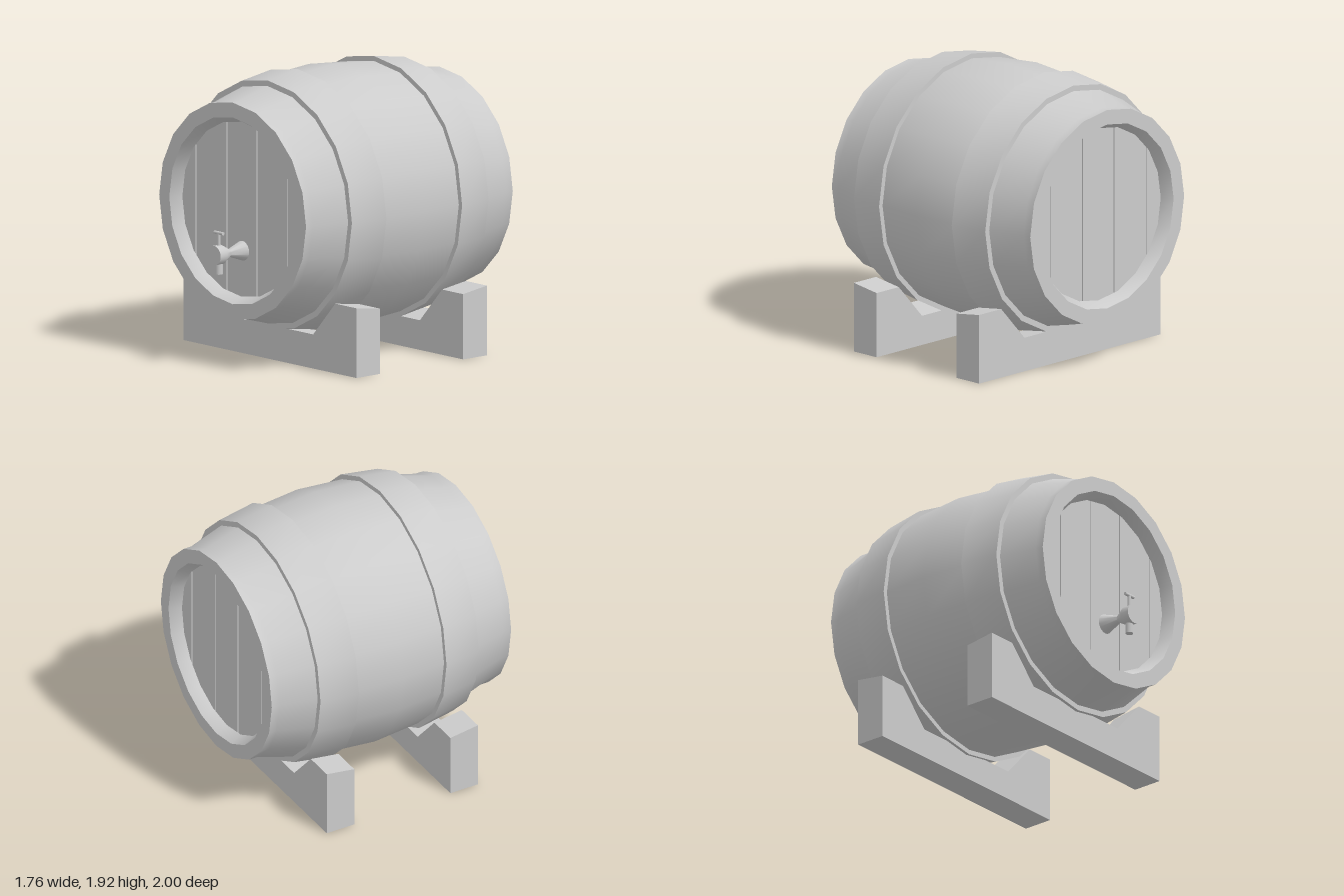
import * as THREE from 'three';
import { toCreasedNormals } from 'three/addons/utils/BufferGeometryUtils.js';

const AXIS_Y = 1.043; // height of the barrel axis
const MID_Z = -0.085; // middle of the barrel along z
const HALF = 0.915; // half the barrel length
const SIDES = 20;

const grey = new THREE.MeshStandardMaterial({ color: 0xcccccc });

function add(parent, name, geometry, x = 0, y = 0, z = 0) {
  const mesh = new THREE.Mesh(geometry, grey);
  mesh.name = name;
  mesh.position.set(x, y, z);
  parent.add(mesh);
  return mesh;
}

// Turned part with its axis along z; points are [radius, z], outer side running towards +z
function turned(points, sides) {
  const geometry = new THREE.LatheGeometry(points.map(([r, z]) => new THREE.Vector2(r, z)), sides);
  geometry.rotateX(Math.PI / 2);
  return toCreasedNormals(geometry, 0.6);
}

// One head board between x0 and x1, its ends following the round opening
function boardGeometry(x0, x1, radius, thickness) {
  const top = [];
  const steps = 6;
  for (let i = 0; i <= steps; i++) {
    const x = x0 + ((x1 - x0) * i) / steps;
    top.push(new THREE.Vector2(x, Math.sqrt(Math.max(radius * radius - x * x, 0.0001))));
  }
  const bottom = top.map((p) => new THREE.Vector2(p.x, -p.y)).reverse();
  const geometry = new THREE.ExtrudeGeometry(new THREE.Shape([...top, ...bottom]), {
    depth: thickness, bevelEnabled: false,
  });
  return geometry.translate(0, 0, -thickness / 2);
}

// Cradle block with a notch; its upper faces drop towards the barrel middle
function cradleGeometry(side) {
  const depth = 0.21;
  const outline = [
    [-0.86, 0], [0.86, 0], [0.86, 0.47], [0.65, 0.47],
    [0.43, 0.23], [-0.43, 0.23], [-0.65, 0.47], [-0.86, 0.47],
  ].map(([x, y]) => new THREE.Vector2(x, y));
  const geometry = new THREE.ExtrudeGeometry(new THREE.Shape(outline), { depth, bevelEnabled: false });
  geometry.translate(0, 0, -depth / 2);
  const pos = geometry.attributes.position;
  for (let i = 0; i < pos.count; i++) {
    if (pos.getY(i) > 0.01 && pos.getZ(i) * side < 0) pos.setY(i, pos.getY(i) - 0.03);
  }
  geometry.computeVertexNormals();
  return geometry;
}

export function createModel() {
  const model = new THREE.Group();
  model.name = 'barrelOnCradles';

  const barrel = new THREE.Group();
  barrel.name = 'barrel';
  barrel.position.set(0, AXIS_Y, MID_Z);
  model.add(barrel);

  // Bulging shell with a flat rim and a recessed opening at each end
  const half = [
    [0.872, 0], [0.845, 0.335], [0.80, 0.605], [0.73, 0.855],
    [0.73, HALF], [0.63, HALF], [0.59, HALF - 0.08],
  ];
  const mirrored = half.slice(1).reverse().map(([r, z]) => [r, -z]);
  add(barrel, 'shell', turned([...mirrored, ...half, mirrored[0]], SIDES));

  // Two hoops, widest towards the middle
  const hoop = [[0.79, 0.335], [0.878, 0.335], [0.838, 0.605], [0.79, 0.605], [0.79, 0.335]];
  const backHoop = hoop.map(([r, z]) => [r, -z]).reverse();
  add(barrel, 'frontHoop', turned(hoop, SIDES));
  add(barrel, 'backHoop', turned(backHoop, SIDES));

  // Five boards with narrow gaps close each end
  const seams = [-0.609, -0.453, -0.147, 0.153, 0.458, 0.609];
  const gap = 0.004;
  for (const side of [1, -1]) {
    const head = new THREE.Group();
    head.name = side > 0 ? 'frontHead' : 'backHead';
    head.position.z = side * (HALF - 0.095);
    for (let i = 0; i < 5; i++) {
      const x0 = seams[i] + (i > 0 ? gap : 0);
      const x1 = seams[i + 1] - (i < 4 ? gap : 0);
      add(head, 'headBoard', boardGeometry(x0, x1, 0.61, 0.03));
    }
    barrel.add(head);
  }

  // Cradles under the hoops
  add(model, 'frontCradle', cradleGeometry(1), 0, 0, 0.395);
  add(model, 'backCradle', cradleGeometry(-1), 0, 0, -0.55);

  // Tap: waisted body, handle above, outlet below
  const tap = new THREE.Group();
  tap.name = 'tap';
  tap.position.set(0.007, 0.765, 0);
  model.add(tap);
  add(tap, 'tapBody', turned([
    [0, 0.74], [0.07, 0.74], [0.025, 0.87], [0.065, 0.94], [0.065, 1], [0, 1],
  ], 20));
  add(tap, 'tapOutlet', new THREE.CylinderGeometry(0.026, 0.026, 0.1, 16), 0, -0.08, 0.958);
  add(tap, 'tapStem', new THREE.CylinderGeometry(0.012, 0.012, 0.11, 12), 0, 0.09, 0.958);
  const bar = add(tap, 'tapHandle', new THREE.CylinderGeometry(0.011, 0.011, 0.088, 12), 0, 0.147, 0.958);
  bar.rotation.z = Math.PI / 2;

  return model;
}
